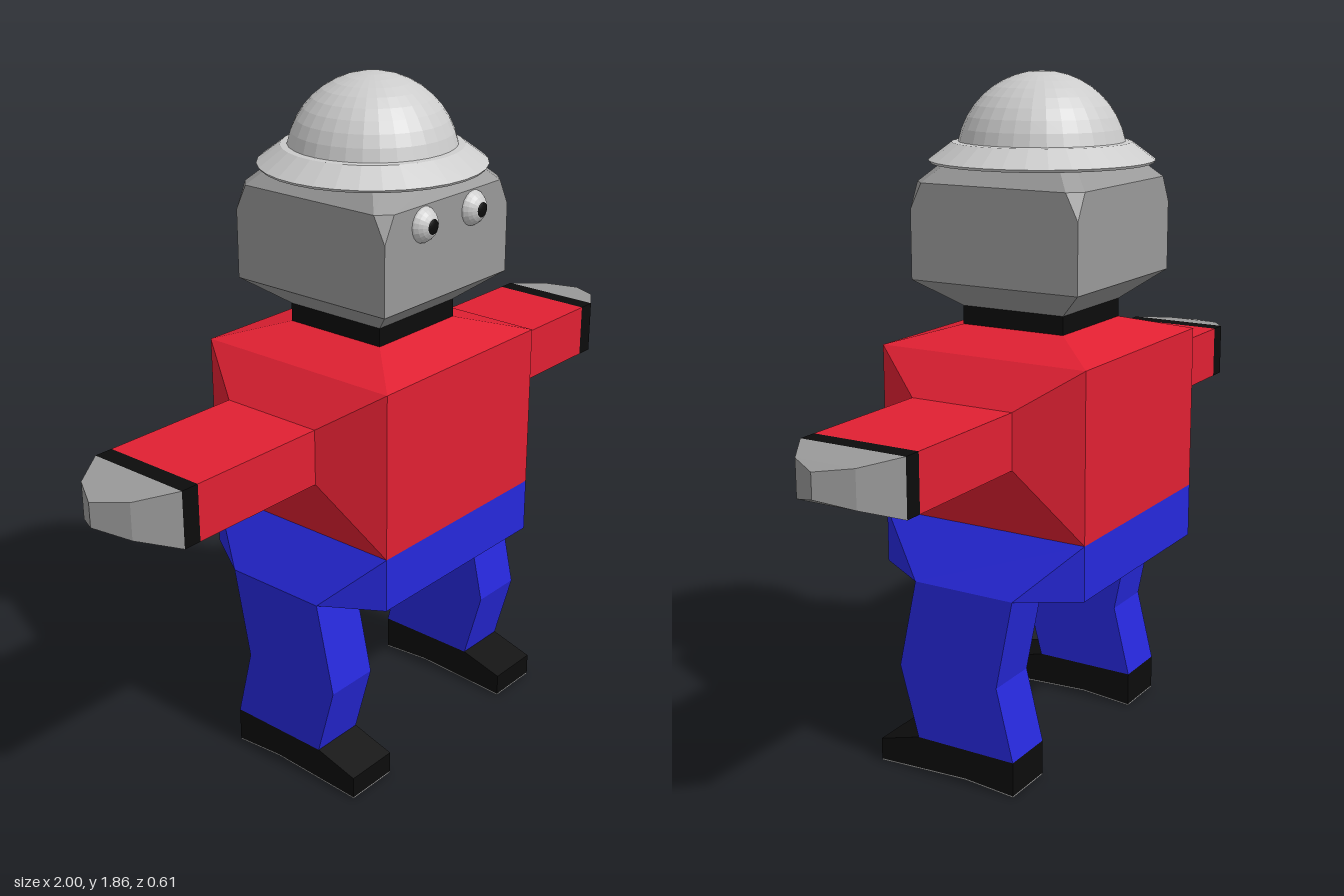
import * as THREE from 'three';

const paint = (color) => new THREE.MeshStandardMaterial({ color, flatShading: true, side: THREE.DoubleSide });
const GREY = paint(0xcccccc), SKIN = paint(0x999999), RED = paint(0xe02032);
const BLUE = paint(0x2628dc), BLACK = paint(0x0c0c0c);

// Rectangular cross-section at height y, anticlockwise from above
const rect = (y, x0, x1, z0, z1) => [[x0, y, z1], [x1, y, z1], [x1, y, z0], [x0, y, z0]];
const square = (y, r) => rect(y, -r, r, -r, r);
// Eight-cornered section: front/back corners (a, b), side corners (c, d)
const oct = (y, a, b, c, d) => [[-a, y, b], [a, y, b], [c, y, d], [c, y, -d],
  [a, y, -b], [-a, y, -b], [-c, y, -d], [-c, y, d]];

// Faceted skin through a stack of sections, capped at both ends
function loft(rings) {
  const pos = [];
  const tri = (a, b, c) => pos.push(...a, ...b, ...c);
  const n = rings[0].length;
  for (let i = 0; i + 1 < rings.length; i++) {
    for (let j = 0; j < n; j++) {
      const k = (j + 1) % n, lo = rings[i], hi = rings[i + 1];
      tri(lo[j], lo[k], hi[k]);
      tri(lo[j], hi[k], hi[j]);
    }
  }
  const bottom = rings[0], top = rings[rings.length - 1];
  for (let j = 1; j + 1 < n; j++) {
    tri(bottom[0], bottom[j + 1], bottom[j]);
    tri(top[0], top[j], top[j + 1]);
  }
  const g = new THREE.BufferGeometry();
  g.setAttribute('position', new THREE.Float32BufferAttribute(pos, 3));
  g.computeVertexNormals();
  return g;
}

// Side profile given as (z, y), extruded across x and centred on it
function sideExtrude(points, width) {
  const shape = new THREE.Shape(points.map(([z, y]) => new THREE.Vector2(z, y)));
  const g = new THREE.ExtrudeGeometry(shape, { depth: width, bevelEnabled: false });
  return g.translate(0, 0, -width / 2).rotateY(-Math.PI / 2);
}

function part(parent, name, geometry, material) {
  const mesh = new THREE.Mesh(geometry, material);
  mesh.name = name;
  parent.add(mesh);
  return mesh;
}

// Arm built upright, then laid out along +x
function makeArm(name) {
  const arm = new THREE.Group();
  arm.name = name;
  const section = (y) => rect(y, -1.05, -0.9, -0.15, 0.15);
  const add = (n, rings, mat) => part(arm, n, loft(rings).rotateZ(-Math.PI / 2), mat);
  add('sleeve', [section(0.395), section(0.8)], RED);
  add('cuff', [section(0.8), section(0.85)], BLACK);
  add('hand', [section(0.85), rect(0.95, -1.038, -0.94, -0.085, 0.085),
    rect(1.0, -1.03, -0.965, 0, 0)], SKIN);
  return arm;
}

function makeLeg(name) {
  const leg = new THREE.Group();
  leg.name = name;
  part(leg, 'trouserLeg', loft([rect(0.1, -0.077, 0.077, -0.15, 0.15),
    rect(0.3, -0.077, 0.077, -0.1, 0.205), rect(0.55, -0.077, 0.077, -0.15, 0.15)]), BLUE);
  part(leg, 'shoe', sideExtrude([[-0.15, 0.004], [0, 0.016], [0.275, 0.004],
    [0.275, 0.065], [0.15, 0.1], [-0.15, 0.1]], 0.154), BLACK);
  part(leg, 'sole', sideExtrude([[-0.15, 0], [0, 0.012], [0.275, 0],
    [0.275, 0.004], [0, 0.016], [-0.15, 0.004]], 0.154), SKIN);
  return leg;
}

export function createModel() {
  const model = new THREE.Group();
  model.name = 'helmetedFigure';

  // Body: the sides swell out to meet the arms and hips
  const waist = oct(0.7, 0.307, 0.307, 0.307, 0.307);
  part(model, 'hips', loft([oct(0.55, 0.307, 0.307, 0.404, 0.15), waist]), BLUE);
  part(model, 'torso', loft([waist, oct(0.9, 0.307, 0.307, 0.4, 0.15),
    oct(1.05, 0.307, 0.307, 0.4, 0.15), oct(1.155, 0.307, 0.307, 0.307, 0.307),
    oct(1.2, 0.152, 0.152, 0.152, 0.152)]), RED);
  part(model, 'neck', loft([square(1.2, 0.153), square(1.25, 0.153)]), BLACK);

  // Head with clipped upper corners
  const plain = (y, r) => oct(y, r, r, r, r);
  part(model, 'head', loft([plain(1.25, 0.153), plain(1.325, 0.25), plain(1.51, 0.25),
    oct(1.58, 0.215, 0.25, 0.25, 0.215), oct(1.65, 0.15, 0.18, 0.18, 0.15)]), SKIN);

  // Limbs
  const leftArm = makeArm('leftArm'), rightArm = makeArm('rightArm');
  rightArm.rotation.y = Math.PI;
  const leftLeg = makeLeg('leftLeg'), rightLeg = makeLeg('rightLeg');
  leftLeg.position.x = 0.327;
  rightLeg.position.x = -0.327;
  model.add(leftArm, rightArm, leftLeg, rightLeg);

  // Eyes with pupil caps facing forward
  for (const [side, s] of [['left', 1], ['right', -1]]) {
    const eye = new THREE.Group();
    eye.name = side + 'Eye';
    part(eye, 'eyeball', new THREE.SphereGeometry(0.05, 20, 14).rotateX(Math.PI / 2), GREY);
    part(eye, 'pupil', new THREE.SphereGeometry(0.051, 16, 4, 0, Math.PI * 2, 0, 0.4)
      .rotateX(Math.PI / 2), BLACK);
    eye.position.set(0.1 * s, 1.53, 0.233);
    model.add(eye);
  }

  // Hollow helmet: sloping brim and round dome
  const profile = [[0.225, 1.665], [0.295, 1.625], [0.3, 1.632], [0.238, 1.678]];
  for (let i = 0; i <= 9; i++) {
    const a = 0.2 + (Math.PI / 2 - 0.2) * i / 9;
    profile.push([Math.max(0, 0.225 * Math.cos(a)), 1.635 + 0.225 * Math.sin(a)]);
  }
  part(model, 'helmet', new THREE.LatheGeometry(
    profile.map(([r, y]) => new THREE.Vector2(r, y)), 32), GREY);

  return model;
}
